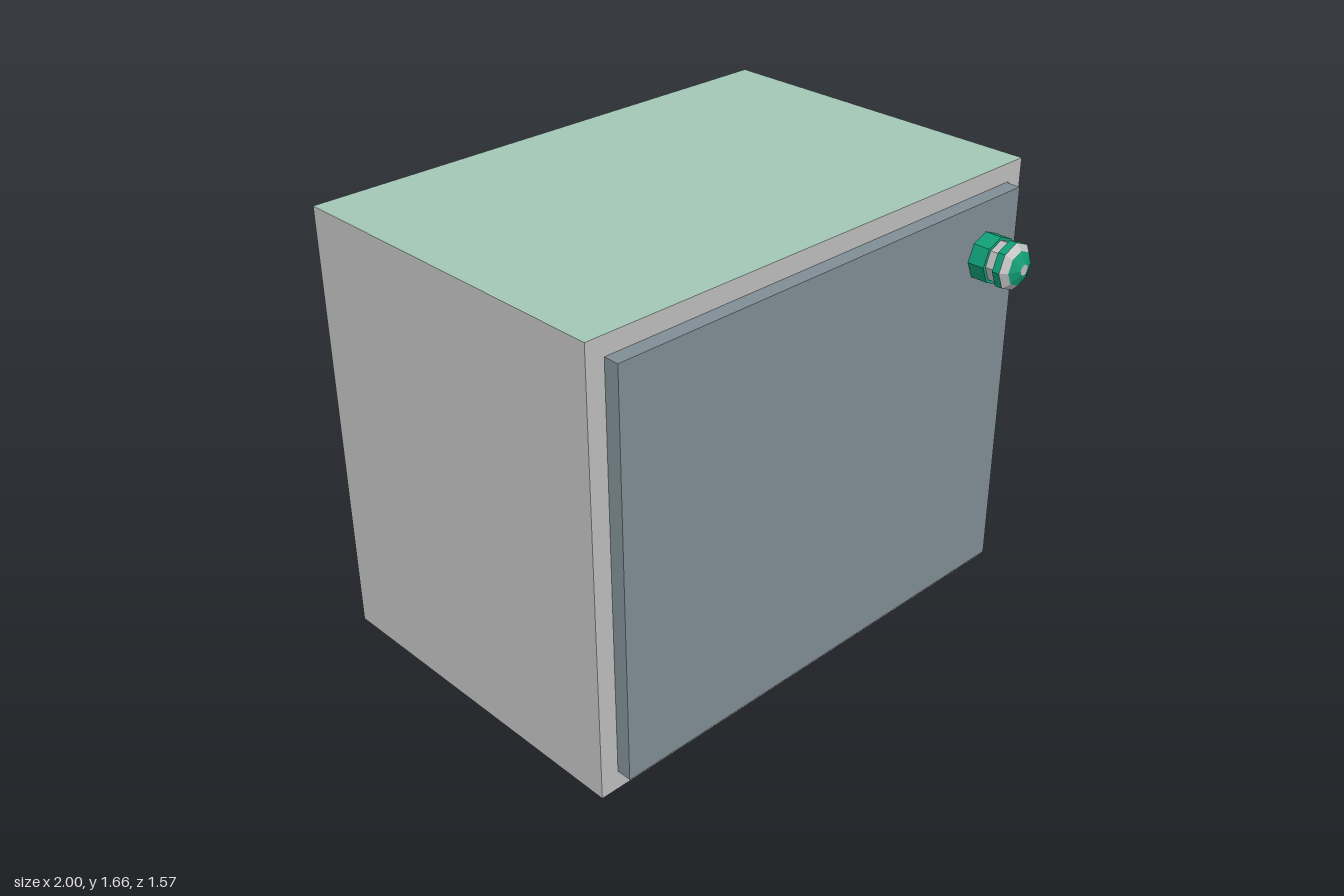
import * as THREE from 'three';

const mat = (name, color) => {
  const m = new THREE.MeshStandardMaterial({ color });
  m.name = name;
  return m;
};

export function createModel() {
  const group = new THREE.Group();
  const grey = mat('light grey', 0xbdbdbd);
  const mint = mat('pale mint', 0xa1c6b6);
  const slate = mat('slate', 0x7f8d94);
  const green = mat('emerald', 0x0f9d76);

  const box = (name, [x0, x1], [y0, y1], [z0, z1], material) => {
    const mesh = new THREE.Mesh(new THREE.BoxGeometry(x1 - x0, y1 - y0, z1 - z0), material);
    mesh.position.set((x0 + x1) / 2, (y0 + y1) / 2, (z0 + z1) / 2);
    mesh.name = name;
    group.add(mesh);
  };

  // Cabinet body: only its top face is mint
  box('cabinet', [-1, 1], [0, 1.66], [-0.787, 0.56], [grey, grey, mint, grey, grey, grey]);
  // Door panel and the narrow strip beside it
  box('door', [-0.93, 0.922], [0.072, 1.59], [0.56, 0.617], slate);
  box('doorEdgeStrip', [0.922, 0.931], [0.072, 1.59], [0.56, 0.563], grey);

  // Eight-sided knob, as bands stacked forwards from the door
  const knob = new THREE.Group();
  knob.name = 'knob';
  knob.position.set(0.748, 1.388, 0.617);
  knob.rotation.x = Math.PI / 2;
  const bands = [
    ['knobBase', green, [[0, 0], [0.088, 0], [0.088, 0.065], [0, 0.065]]],
    ['knobNeck', grey, [[0.076, 0.065], [0.076, 0.101]]],
    ['knobCollar', green, [[0, 0.101], [0.088, 0.101], [0.088, 0.13]]],
    ['knobBevel', grey, [[0.088, 0.13], [0.064, 0.151]]],
    ['knobCap', green, [[0.064, 0.151], [0.02, 0.17]]],
    ['knobTip', grey, [[0.02, 0.17], [0, 0.17]]],
  ];
  for (const [name, material, profile] of bands) {
    const points = profile.map(([r, h]) => new THREE.Vector2(r, h));
    const flat = new THREE.LatheGeometry(points, 8).toNonIndexed();
    flat.computeVertexNormals();
    const mesh = new THREE.Mesh(flat, material);
    mesh.name = name;
    knob.add(mesh);
  }
  group.add(knob);
  return group;
}
